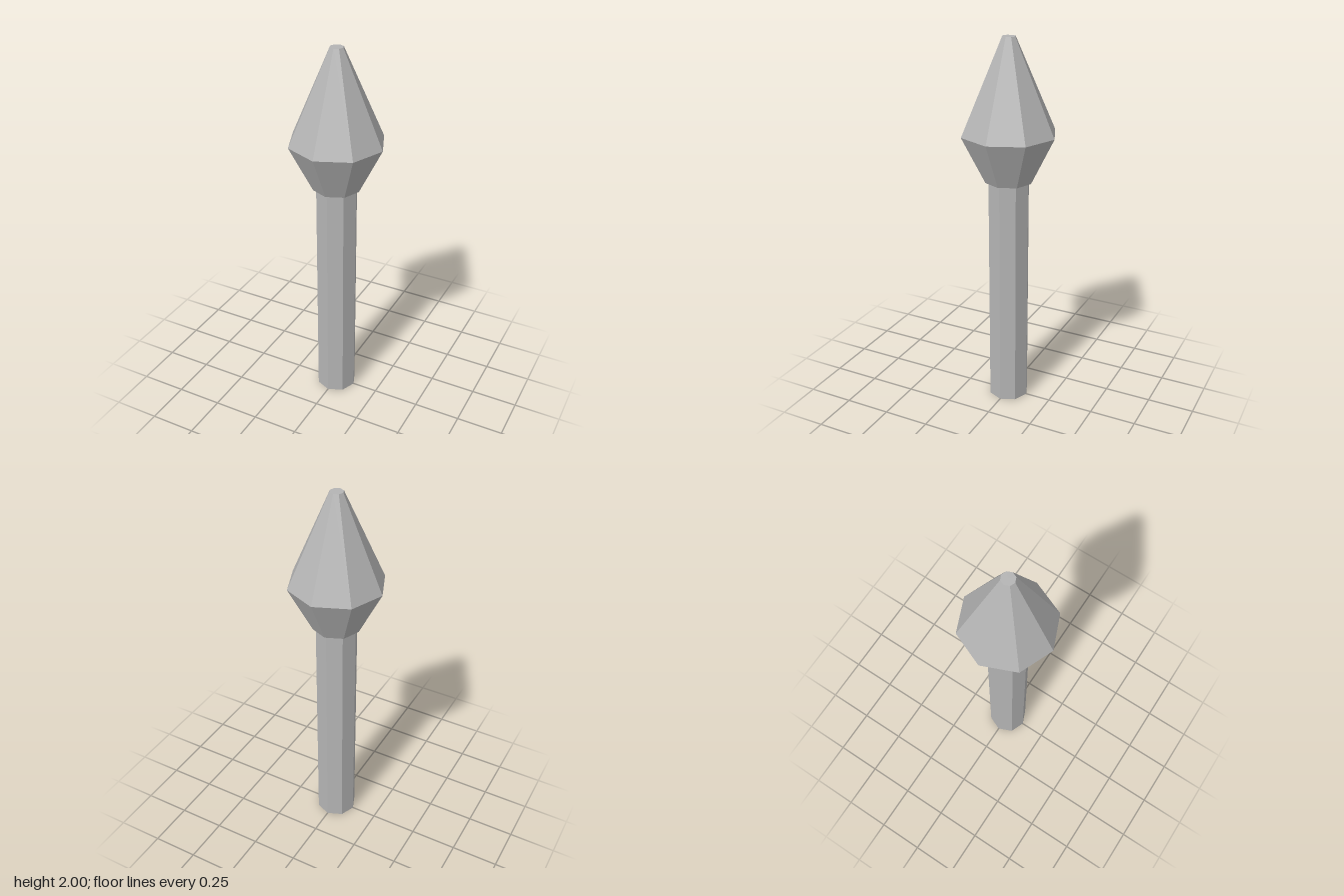
import * as THREE from 'three';

const SIDES = 8;

export function createModel() {
  const model = new THREE.Group();
  model.name = 'spikedPost';

  const metal = new THREE.MeshStandardMaterial({ color: 0xb4b4b4, flatShading: true });
  metal.name = 'grey metal';

  // Octagonal section between two heights, with a corner facing the front
  function section(name, bottomRadius, topRadius, bottom, top, open = false) {
    const geometry = new THREE.CylinderGeometry(topRadius, bottomRadius, top - bottom, SIDES, 1, open);
    const mesh = new THREE.Mesh(geometry, metal);
    mesh.name = name;
    mesh.position.y = (bottom + top) / 2;
    return mesh;
  }

  // Straight shaft
  model.add(section('shaft', 0.11, 0.11, 0, 1.263));

  // Pointed head: closed profile turned in eight facets, with a blunt tip
  const profile = [[0, 1.263], [0.126, 1.263], [0.251, 1.514], [0.035, 2], [0, 2]];
  const head = new THREE.Mesh(
    new THREE.LatheGeometry(profile.map(([r, y]) => new THREE.Vector2(r, y)), SIDES),
    metal
  );
  head.name = 'spearHead';
  model.add(head);

  return model;
}
